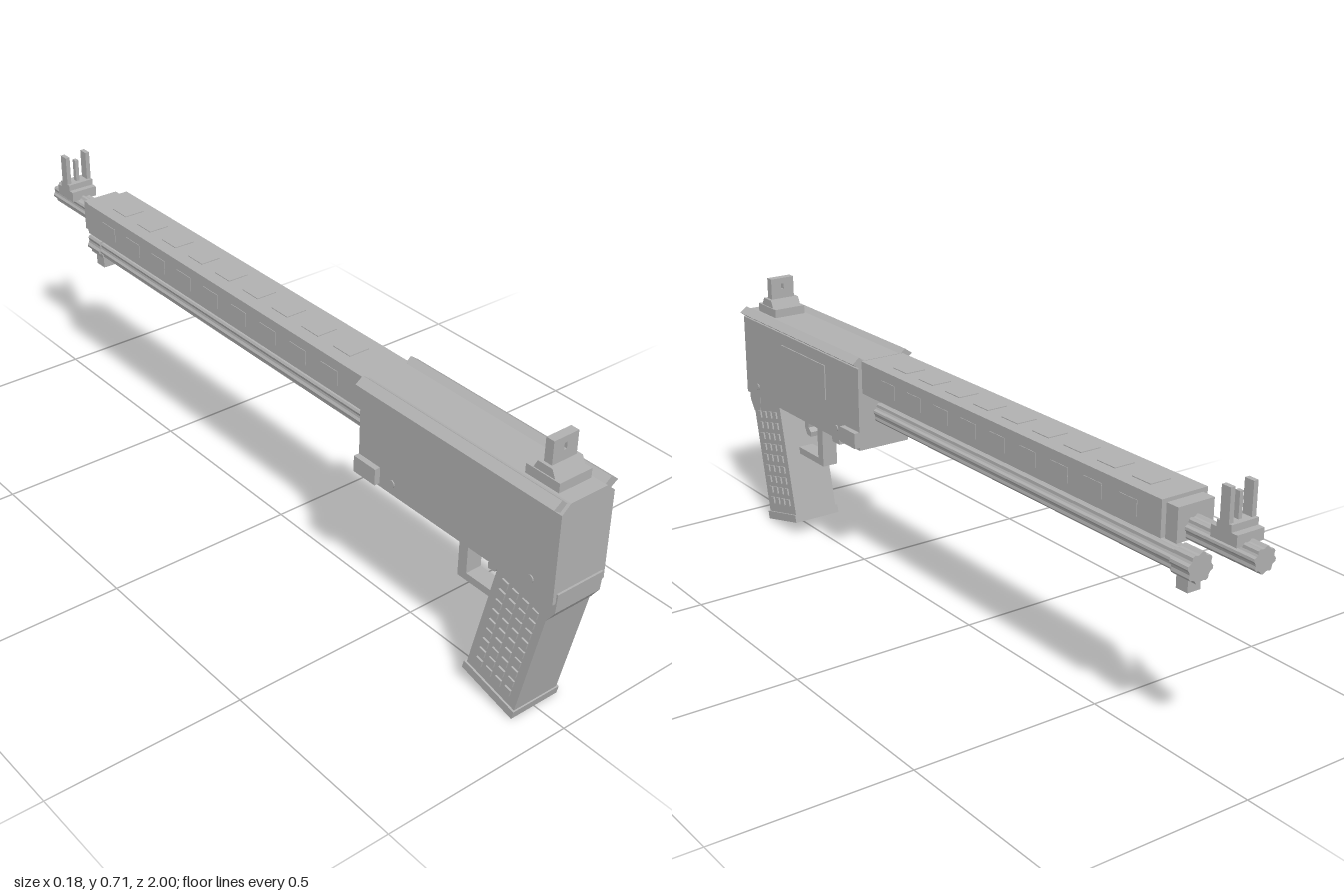
import * as THREE from 'three';

const metal = new THREE.MeshStandardMaterial({ color: 0xb0b0b0 });
metal.name = 'grey metal';

export function createModel() {
  const root = new THREE.Group();
  root.name = 'model';

  const add = (name, geometry, parent = root) => {
    const mesh = new THREE.Mesh(geometry, metal);
    mesh.name = name;
    parent.add(mesh);
    return mesh;
  };
  // Box given by its limits on each axis
  const box = (name, x0, x1, y0, y1, z0, z1, parent) => {
    const mesh = add(name, new THREE.BoxGeometry(x1 - x0, y1 - y0, z1 - z0), parent);
    mesh.position.set((x0 + x1) / 2, (y0 + y1) / 2, (z0 + z1) / 2);
    return mesh;
  };
  const shapeOf = (points) => new THREE.Shape(points.map(([a, b]) => new THREE.Vector2(a, b)));
  // Front outline (x, y) stretched along z
  const alongZ = (name, points, z0, z1, parent) => {
    const g = new THREE.ExtrudeGeometry(shapeOf(points), { depth: z1 - z0, bevelEnabled: false });
    return add(name, g.translate(0, 0, z0), parent);
  };
  // Side outline (z, y) stretched across x
  const acrossX = (name, points, x0, x1, parent) => {
    const g = new THREE.ExtrudeGeometry(shapeOf(points.map(([z, y]) => [-z, y])), { depth: x1 - x0, bevelEnabled: false });
    return add(name, g.rotateY(Math.PI / 2).translate(x0, 0, 0), parent);
  };
  // Grooved rod along z
  const flutedRod = (name, y, radius, z0, z1) => {
    const points = [];
    for (let i = 0; i < 32; i++) {
      const a = ((i + 0.5) / 32) * Math.PI * 2;
      const r = i % 4 < 2 ? radius : radius * 0.86;
      points.push([Math.cos(a) * r, y + Math.sin(a) * r]);
    }
    return alongZ(name, points, z0, z1);
  };

  // Receiver with chamfered shoulders
  alongZ('receiver', [[-0.075, 0.37], [0.075, 0.37], [0.075, 0.592], [0.052, 0.612], [-0.052, 0.612], [-0.075, 0.592]], 0.385, 0.995);
  box('receiverPanel', 0.074, 0.078, 0.465, 0.56, 0.55, 0.78);
  for (const s of [-1, 1]) {
    const rail = [[0.05, 0.606], [0.07, 0.593], [0.091, 0.607], [0.07, 0.622]].map(([x, y]) => [x * s, y]);
    alongZ('topRail', rail, 0.385, 0.987);
    box('sideTab', s > 0 ? 0.07 : -0.09, s > 0 ? 0.09 : -0.07, 0.378, 0.42, 0.385, 0.458);
    for (const [y, z] of [[0.4, 0.5], [0.4, 0.93]]) {
      const pin = add('receiverPin', new THREE.CylinderGeometry(0.009, 0.009, 0.004, 8));
      pin.rotation.z = Math.PI / 2;
      pin.position.set(s * 0.076, y, z);
    }
  }

  // Barrel shroud with rows of plates
  box('barrelShroud', -0.063, 0.063, 0.525, 0.611, -0.765, 0.39);
  for (let i = 0; i < 9; i++) {
    const z = 0.26 - i * 0.115;
    box('topVent', -0.028, 0.028, 0.61, 0.613, z - 0.03, z + 0.03);
    for (const s of [-1, 1]) {
      const vent = box('sideVent', -0.0015, 0.0015, 0.548, 0.585, z - 0.03, z + 0.03);
      vent.position.x = s * 0.063;
    }
  }
  box('shroudCollar', -0.05, 0.05, 0.522, 0.602, -0.8, -0.765);

  // Barrel and lower tube
  flutedRod('barrel', 0.546, 0.03, -1, 0.39);
  flutedRod('lowerTube', 0.463, 0.031, -0.77, 0.39);
  flutedRod('lowerTubeCap', 0.463, 0.036, -0.822, -0.765);
  box('lowerTubeTab', -0.018, 0.018, 0.404, 0.435, -0.806, -0.77);

  // Front sight: stepped base, two wings and a centre post
  const frontSight = new THREE.Group();
  frontSight.name = 'frontSight';
  root.add(frontSight);
  box('frontSightBase', -0.037, 0.037, 0.565, 0.592, -0.957, -0.882, frontSight);
  box('frontSightStep', -0.037, 0.037, 0.592, 0.608, -0.94, -0.898, frontSight);
  for (const s of [-1, 1]) {
    const wing = box('frontSightWing', -0.006, 0.006, 0.6, 0.685, -0.932, -0.906, frontSight);
    wing.position.x = s * 0.031;
  }
  box('frontSightPost', -0.005, 0.005, 0.6, 0.668, -0.925, -0.912, frontSight);

  // Rear sight: stepped base and a notched plate
  const rearSight = new THREE.Group();
  rearSight.name = 'rearSight';
  root.add(rearSight);
  box('rearSightBase', -0.046, 0.046, 0.61, 0.635, 0.862, 0.956, rearSight);
  acrossX('rearSightStep', [[0.94, 0.635], [0.93, 0.655], [0.89, 0.655], [0.88, 0.635]], -0.043, 0.043, rearSight);
  const plate = shapeOf([[-0.035, 0.65], [0.035, 0.65], [0.035, 0.712], [-0.035, 0.712]]);
  plate.holes.push(new THREE.Path([[-0.004, 0.68], [-0.004, 0.696], [0.004, 0.696], [0.004, 0.68]].map(([x, y]) => new THREE.Vector2(x, y))));
  add('rearSightPlate', new THREE.ExtrudeGeometry(plate, { depth: 0.022, bevelEnabled: false }).translate(0, 0, 0.899), rearSight);

  // Slanted grip with its base and rear tang
  acrossX('grip', [[0.988, 0.38], [0.91, 0.02], [0.758, 0.055], [0.832, 0.38]], -0.065, 0.065);
  acrossX('gripBase', [[0.914, 0.022], [0.909, 0], [0.75, 0.04], [0.755, 0.061]], -0.07, 0.07);
  acrossX('gripTang', [[1, 0.395], [0.996, 0.345], [0.975, 0.314], [0.94, 0.314], [0.94, 0.395]], -0.066, 0.066);

  // Studs in rows following the slant
  for (const s of [-1, 1]) {
    for (let row = 0; row < 9; row++) {
      for (let col = 0; col < 4; col++) {
        const stud = add('gripStud', new THREE.BoxGeometry(0.007, 0.019, 0.019));
        const y = 0.075 + row * 0.031;
        stud.position.set(s * 0.066, y - (col - 1.5) * 0.007, 0.835 + (y - 0.04) * 0.224 + (col - 1.5) * 0.03);
        stud.rotation.x = 0.22;
      }
    }
  }

  // Trigger, guard and release button
  acrossX('trigger', [[0.772, 0.375], [0.782, 0.31], [0.77, 0.29], [0.75, 0.288], [0.748, 0.302], [0.762, 0.312], [0.75, 0.375]], -0.012, 0.012);
  acrossX('triggerGuard', [[0.81, 0.245], [0.81, 0.226], [0.668, 0.226], [0.668, 0.372], [0.695, 0.372], [0.695, 0.245]], -0.022, 0.022);
  box('releaseButton', -0.025, 0.025, 0.32, 0.346, 0.573, 0.61);

  return root;
}
